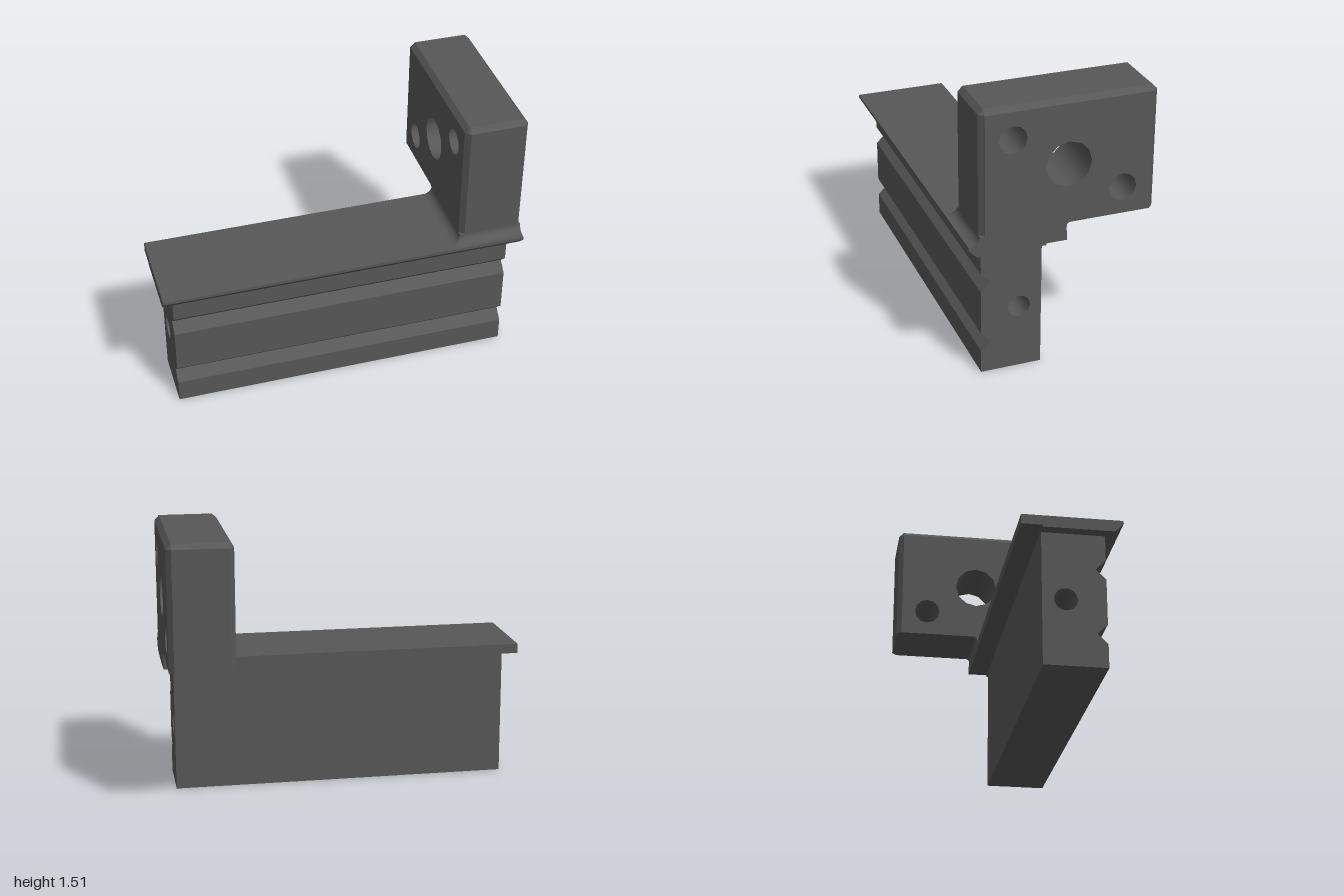
import * as THREE from 'three';
import { toCreasedNormals, mergeGeometries } from 'three/addons/utils/BufferGeometryUtils.js';

const material = new THREE.MeshStandardMaterial({ color: 0x575757, side: THREE.DoubleSide });

function addMesh(parent, name, geometry) {
  const mesh = new THREE.Mesh(geometry, material);
  mesh.name = name;
  parent.add(mesh);
}

// Shape from [z, y] pairs, optional round holes [z, y, radius]
function sideShape(points, holes = []) {
  const shape = new THREE.Shape(points.map(([z, y]) => new THREE.Vector2(-z, y)));
  for (const [z, y, r] of holes) {
    shape.holes.push(new THREE.Path().absarc(-z, y, r, 0, Math.PI * 2, true));
  }
  return shape;
}

// Extrudes a side shape along x from x0 to x1
function prism(shape, x0, x1, curveSegments = 6) {
  const g = new THREE.ExtrudeGeometry(shape, { depth: x1 - x0, bevelEnabled: false, curveSegments });
  g.rotateY(Math.PI / 2).translate(x0, 0, 0);
  return toCreasedNormals(g, 0.6);
}

// Skins closed loops of equal length into bands
function skin(loops) {
  const pos = [];
  for (let i = 0; i < loops.length - 1; i++) {
    const a = loops[i], b = loops[i + 1], n = a.length;
    for (let j = 0; j < n; j++) {
      const k = (j + 1) % n;
      pos.push(...a[j], ...a[k], ...b[k], ...a[j], ...b[k], ...b[j]);
    }
  }
  const g = new THREE.BufferGeometry();
  g.setAttribute('position', new THREE.Float32BufferAttribute(pos, 3));
  g.computeVertexNormals();
  return g;
}

// Concave fillet section: [offset from wall, height]
function filletCurve(width, height, steps) {
  return Array.from({ length: steps + 1 }, (_, i) => {
    const a = (i / steps) * Math.PI / 2;
    return [width * (1 - Math.sin(a)), height * (1 - Math.cos(a))];
  });
}

export function createModel() {
  const model = new THREE.Group();
  model.name = 'clampJaw';

  // Jaw bar with two V grooves on the front and a hole in each end
  const jaw = [[0.087, 0], [0.415, 0]];
  for (const y of [0.18, 0.53]) jaw.push([0.415, y - 0.053], [0.362, y], [0.415, y + 0.053]);
  jaw.push([0.415, 0.72], [0.087, 0.72]);
  addMesh(model, 'jawBar', prism(sideShape(jaw, [[0.208, 0.355, 0.06]]), -0.94, 0.94, 12));

  // Rounded bottoms of the end holes
  for (const s of [-1, 1]) {
    const dome = new THREE.SphereGeometry(0.06, 24, 8, 0, Math.PI * 2, 0, Math.PI / 2);
    dome.rotateZ(s * Math.PI / 2).translate(s * 0.65, 0.355, 0.208);
    addMesh(model, s > 0 ? 'leftHoleBottom' : 'rightHoleBottom', dome);
  }

  // Top flange with a chamfered front lip and stepped underside
  addMesh(model, 'flange', prism(sideShape([
    [0.087, 0.72], [0.455, 0.72], [0.5, 0.767], [0.5, 0.783],
    [-0.024, 0.783], [-0.024, 0.73], [0.087, 0.73],
  ]), -1, 1));

  // Mounting block: drilled core plus a chamfered skin
  const mount = new THREE.Group();
  mount.name = 'mountingBlock';
  model.add(mount);
  const bottom = 0.83, top = 1.507, front = 0.44, back = -0.5, c = 0.027;
  const core = [[front - c, bottom], [front - c, top - c], [back + c, top - c], [back + c, bottom]];
  const holes = [[-0.028, 1.154, 0.122], [0.267, 1.331, 0.074], [-0.322, 0.978, 0.074]];
  addMesh(mount, 'drilledCore', prism(sideShape(core, holes), 0.65, 1));

  const inner = [core[0], core[1], core[1], core[2], core[2], core[3]];
  const outer = [
    [front, bottom], [front, top - c], [front - c, top],
    [back + c, top], [back, top - c], [back, bottom],
  ];
  const at = (x, loop) => loop.map(([z, y]) => [x, y, z]);
  addMesh(mount, 'chamferedSkin', skin([
    at(1, inner), at(1 - c, outer), at(0.65 + c, outer), at(0.65, inner),
  ]));

  // Foot joining block and flange, with a small fillet under the overhang
  const foot = [[front, 0.78], [front, bottom], [-0.042, bottom]];
  for (const [o, h] of filletCurve(0.02, 0.02, 5).reverse()) foot.push([-0.022 - h, bottom - o]);
  foot.push([-0.022, 0.78]);
  addMesh(mount, 'foot', prism(sideShape(foot), 0.65, 1));

  // Fillet around the foot: front run, side run and rounded corner
  const base = 0.783;
  const curve = filletCurve(0.053, 0.047, 8);
  const frontRun = prism(sideShape([[front, base],
    ...curve.map(([o, h]) => [front + o, base + h])]), 0.65, 1);
  const sideRun = prism(sideShape([[0, base],
    ...curve.map(([o, h]) => [o, base + h])]), 0, front + 0.022);
  sideRun.rotateY(-Math.PI / 2).translate(0.65, 0, -0.022);
  const corner = new THREE.LatheGeometry(
    curve.map(([o, h]) => new THREE.Vector2(o, base + h)), 8, Math.PI * 1.5, Math.PI / 2
  ).toNonIndexed();
  corner.translate(0.65, 0, front);
  addMesh(mount, 'footFillet', mergeGeometries([frontRun, sideRun, corner]));

  return model;
}
